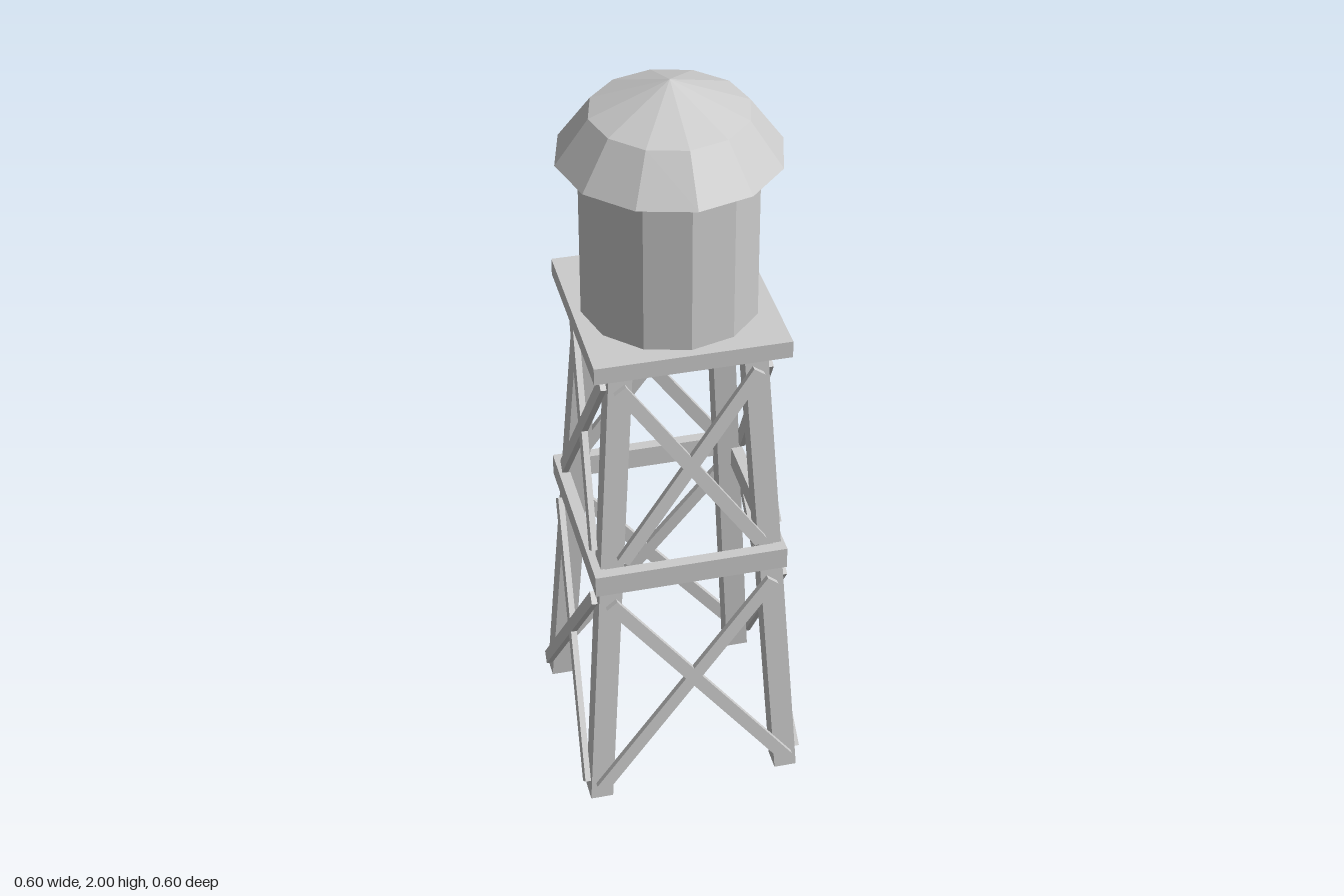
import * as THREE from 'three';

const material = new THREE.MeshStandardMaterial({ color: 0xcccccc, flatShading: true });

function add(parent, name, geometry, x = 0, y = 0, z = 0) {
  const mesh = new THREE.Mesh(geometry, material);
  mesh.name = name;
  mesh.position.set(x, y, z);
  parent.add(mesh);
  return mesh;
}

const LEG_TOP = 1.35, LEG_WIDTH = 0.06, FOOT = 0.255, HEAD = 0.168;
const LEG_Z = -0.004; // the legs stand very slightly behind centre

// distance of a leg's centre line from the tower axis at height y
const legOffset = y => THREE.MathUtils.lerp(FOOT, HEAD, y / LEG_TOP);

// square post sheared inward towards the top, ends kept level
function legGeometry(sx, sz) {
  const g = new THREE.BoxGeometry(LEG_WIDTH, LEG_TOP, LEG_WIDTH);
  g.translate(0, LEG_TOP / 2, 0);
  const p = g.attributes.position;
  for (let i = 0; i < p.count; i++) {
    const d = legOffset(p.getY(i));
    p.setX(i, p.getX(i) + sx * d);
    p.setZ(i, p.getZ(i) + sz * d);
  }
  g.computeVertexNormals();
  return g;
}

// flat plank from a to b, lying in the sloping front plane of the tower
function addBrace(parent, a, b) {
  const along = b.clone().sub(a);
  const length = along.length();
  along.normalize();
  const slope = (FOOT - HEAD) / LEG_TOP;
  const normal = new THREE.Vector3(0, slope, 1).normalize();
  const across = along.clone().cross(normal).normalize();
  const mesh = add(parent, 'brace', new THREE.BoxGeometry(0.035, length, 0.016));
  mesh.quaternion.setFromRotationMatrix(new THREE.Matrix4().makeBasis(across, along, normal));
  mesh.position.copy(a).add(b).multiplyScalar(0.5);
}

export function createModel() {
  const model = new THREE.Group();
  model.name = 'waterTower';

  // four splayed legs
  const legs = new THREE.Group();
  legs.name = 'legs';
  legs.position.z = LEG_Z;
  model.add(legs);
  for (const sx of [-1, 1])
    for (const sz of [-1, 1]) add(legs, 'leg', legGeometry(sx, sz));

  // crossed braces, two tiers on each side: [low y, low x, high y, high x]
  const tiers = [[0.04, 0.256, 0.64, 0.213], [0.77, 0.18, 1.28, 0.175]];
  for (let side = 0; side < 4; side++) {
    const braces = new THREE.Group();
    braces.name = 'sideBraces';
    braces.rotation.y = side * Math.PI / 2;
    braces.position.z = LEG_Z;
    model.add(braces);
    for (const [y0, x0, y1, x1] of tiers)
      for (const s of [-1, 1]) {
        const z = y => legOffset(y) + LEG_WIDTH / 2 + 0.007;
        addBrace(braces,
          new THREE.Vector3(s * x0, y0, z(y0)),
          new THREE.Vector3(-s * x1, y1, z(y1)));
      }
  }

  // ring of beams around the middle of the legs
  const ring = new THREE.Group();
  ring.name = 'beamRing';
  ring.position.set(-0.006, 0.72, 0);
  model.add(ring);
  for (const s of [-1, 1]) {
    add(ring, 'crossBeam', new THREE.BoxGeometry(0.502, 0.06, 0.03), 0, 0, s * 0.25);
    add(ring, 'sideBeam', new THREE.BoxGeometry(0.03, 0.06, 0.47), s * 0.236, 0, 0);
  }

  // platform and tank
  add(model, 'platform', new THREE.BoxGeometry(0.494, 0.046, 0.498), 0, 1.36, 0);
  add(model, 'tank', new THREE.CylinderGeometry(0.225, 0.225, 0.44, 12), 0, 1.6, 0);

  // two-pitch roof with a closed underside
  const roof = [[0, 1.805], [0.28, 1.805], [0.197, 1.92], [0, 2]];
  add(model, 'roof', new THREE.LatheGeometry(roof.map(([r, y]) => new THREE.Vector2(r, y)), 12));

  return model;
}
